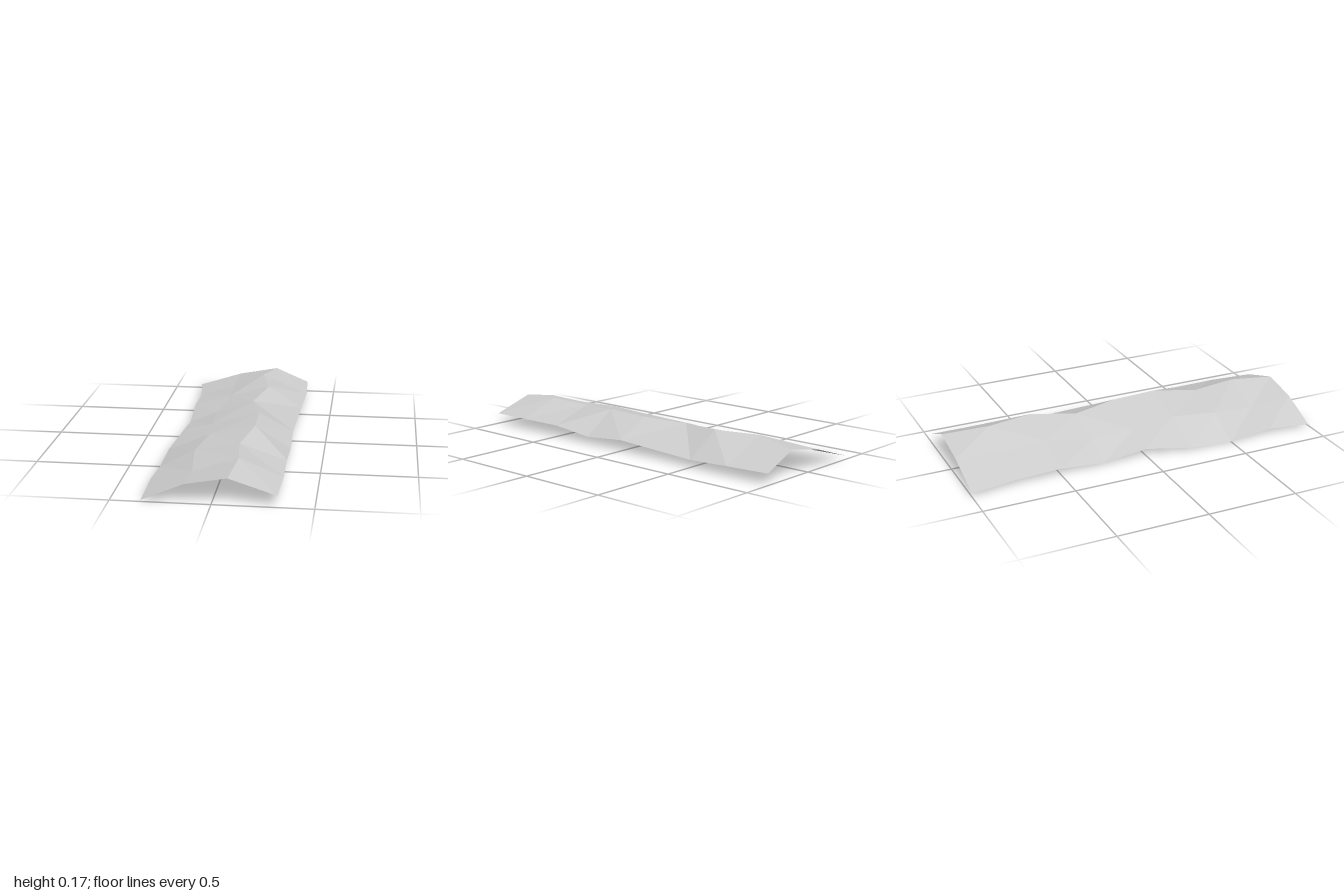
import * as THREE from 'three';

// Cross-sections from back to front: x, y of the left rim, shoulder, ridge and right rim
const SECTIONS = [
  [-0.34, 0.02, -0.09, 0.10, 0.14, 0.143, 0.335, 0.06],
  [-0.305, 0.025, -0.10, 0.095, 0.08, 0.168, 0.345, 0.055],
  [-0.305, 0.035, -0.09, 0.10, 0.135, 0.165, 0.33, 0.04],
  [-0.295, 0.01, -0.14, 0.075, 0.07, 0.148, 0.325, 0.05],
  [-0.295, 0.04, -0.13, 0.085, 0.13, 0.158, 0.32, 0.06],
  [-0.335, 0.012, -0.11, 0.105, 0.135, 0.165, 0.325, 0.04],
  [-0.34, 0.0, -0.155, 0.10, 0.08, 0.145, 0.325, 0.065],
  [-0.34, 0.027, -0.13, 0.075, 0.105, 0.155, 0.33, 0.065],
  [-0.345, 0.008, -0.13, 0.10, 0.08, 0.138, 0.32, 0.06],
];
// Fold direction of each panel, one string per strip between sections
const FOLDS = ['\\\\/', '\\//', '\\\\/', '\\/\\', '\\//', '\\\\\\', '\\\\\\', '\\\\\\'];

function createSheet() {
  const positions = [];
  SECTIONS.forEach((s, i) => {
    for (let j = 0; j < 4; j++) positions.push(s[2 * j], s[2 * j + 1], -1 + i * 0.25);
  });
  const index = [];
  FOLDS.forEach((row, i) => {
    for (let j = 0; j < 3; j++) {
      const a = i * 4 + j, b = a + 1, c = a + 4, d = a + 5;
      if (row[j] === '\\') index.push(a, c, d, a, d, b);
      else index.push(a, c, b, b, c, d);
    }
  });
  const geometry = new THREE.BufferGeometry();
  geometry.setAttribute('position', new THREE.Float32BufferAttribute(positions, 3));
  geometry.setIndex(index);
  const faceted = geometry.toNonIndexed();
  faceted.computeVertexNormals();
  return faceted;
}

export function createModel() {
  const group = new THREE.Group();
  group.name = 'ridgedSheet';
  const grey = new THREE.MeshStandardMaterial({ color: 0xcccccc });
  grey.name = 'light grey';
  grey.side = THREE.DoubleSide;
  grey.flatShading = true;
  const sheet = new THREE.Mesh(createSheet(), grey);
  sheet.name = 'foldedSheet';
  group.add(sheet);
  return group;
}
